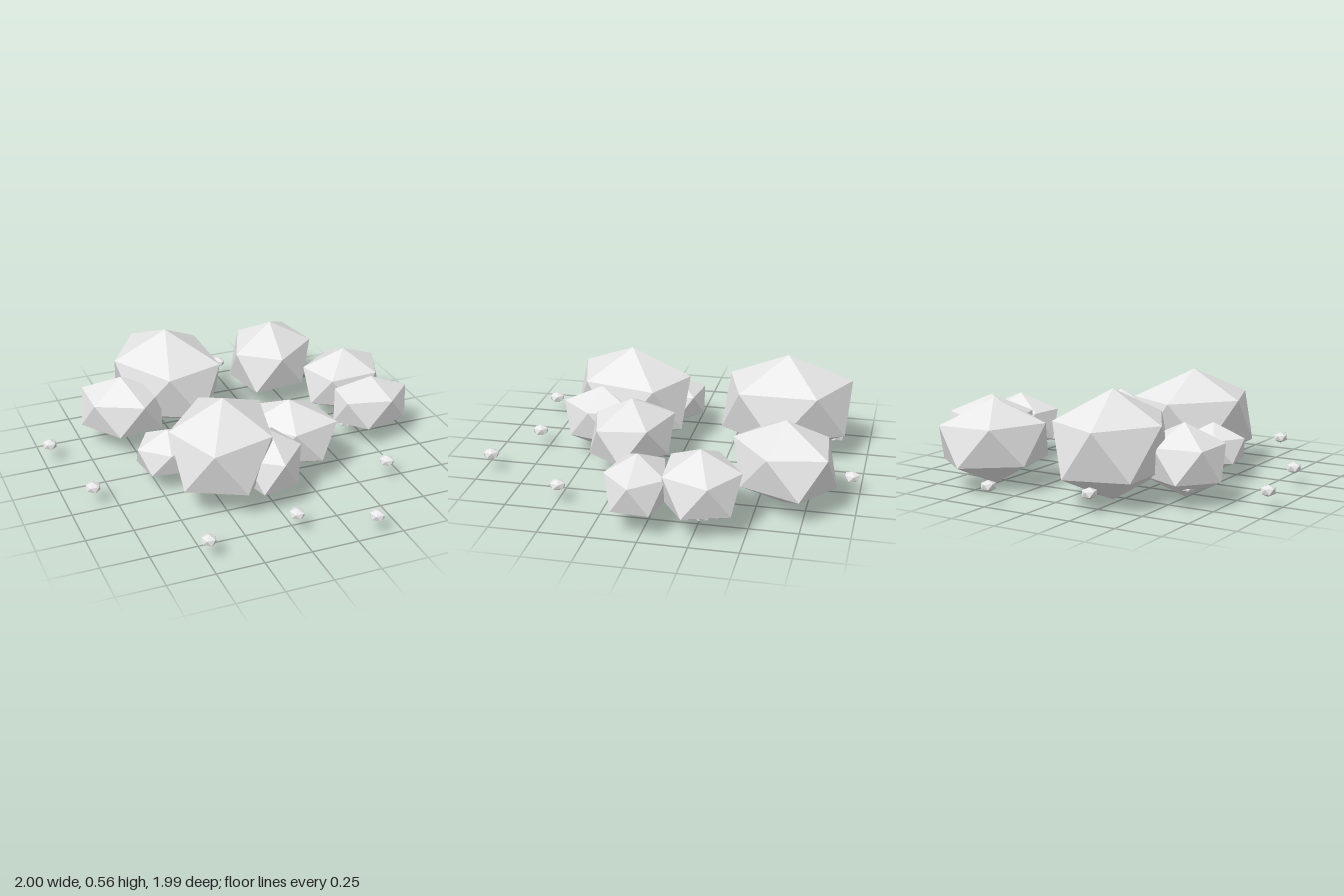
import * as THREE from 'three';

const TAU = Math.PI * 2;

// Unit stone: a 20-sided solid with a point at top and bottom and two staggered five-sided rings.
// Upper ring point k lies at cos(k * 72) on x and sin(k * 72) on z.
function stoneGeometry() {
  const ringY = 1 / Math.sqrt(5);
  const upper = k => [Math.cos(k * TAU / 5), ringY, Math.sin(k * TAU / 5)];
  const lower = k => [Math.cos((k + 0.5) * TAU / 5), -ringY, Math.sin((k + 0.5) * TAU / 5)];
  const pos = [];
  for (let k = 0; k < 5; k++) {
    pos.push(0, 1, 0, ...upper(k + 1), ...upper(k));
    pos.push(...upper(k), ...upper(k + 1), ...lower(k));
    pos.push(...upper(k + 1), ...lower(k + 1), ...lower(k));
    pos.push(0, -1, 0, ...lower(k), ...lower(k + 1));
  }
  const geo = new THREE.BufferGeometry();
  geo.setAttribute('position', new THREE.Float32BufferAttribute(pos, 3));
  return geo;
}

export function createModel() {
  const model = new THREE.Group();
  const stone = new THREE.MeshStandardMaterial({ color: 0xe7e7e7, flatShading: true });
  stone.name = 'pale grey stone';
  const unitStone = stoneGeometry();

  // Stretch the unit stone: p and q are the ring's two radius vectors in (x, z).
  function addStone(name, [x, y, z], half, p, q) {
    const geo = unitStone.clone().applyMatrix4(new THREE.Matrix4().set(
      p[0], 0, q[0], 0,
      0, half, 0, 0,
      p[1], 0, q[1], 0,
      0, 0, 0, 1));
    geo.computeVertexNormals();
    const mesh = new THREE.Mesh(geo, stone);
    mesh.name = name;
    mesh.position.set(x, y, z);
    model.add(mesh);
  }

  // Boulders: name, centre, half height, ring vectors
  const boulders = [
    ['largeBackBoulder', [-0.213, 0.283, -0.552], 0.282, [-0.093, -0.345], [0.278, -0.084]],
    ['largeFrontBoulder', [-0.2, 0.276, 0.311], 0.273, [-0.014, -0.323], [0.293, -0.08]],
    ['backRightBoulder', [-0.53, 0.213, -0.393], 0.188, [-0.18, -0.155], [0.131, -0.152]],
    ['backLeftBoulder', [0.459, 0.243, -0.633], 0.225, [-0.122, -0.204], [0.224, -0.176]],
    ['leftBoulder', [0.757, 0.218, -0.262], 0.19, [-0.222, -0.052], [0.082, -0.203]],
    ['leftFrontBoulder', [0.782, 0.201, 0.045], 0.167, [-0.171, -0.097], [0.14, -0.134]],
    ['middleBoulder', [0.21, 0.219, 0.215], 0.195, [-0.11, -0.208], [0.228, -0.06]],
    ['smallFrontBoulder', [0.005, 0.208, 0.433], 0.18, [0, 0.215], [-0.172, 0.03]],
    ['smallRightBoulder', [-0.43, 0.172, 0.103], 0.136, [-0.075, -0.14], [0.157, -0.073]],
  ];
  boulders.forEach(b => addStone(...b));

  // Pebbles scattered around and beneath the boulders
  const pebbles = [
    [-0.96, -0.335], [0.255, -0.956], [-0.864, 0.181], [0.662, 0.495], [-0.48, 0.85], [0.008, 0.794],
    [0.371, 0.954], [-0.25, -0.825], [0.645, 0.024], [0.84, -0.286], [-0.59, -0.47],
  ];
  pebbles.forEach(([x, z]) => addStone('pebble', [x, 0.097, z], 0.03, [0, -0.041], [0.037, 0]));

  return model;
}
